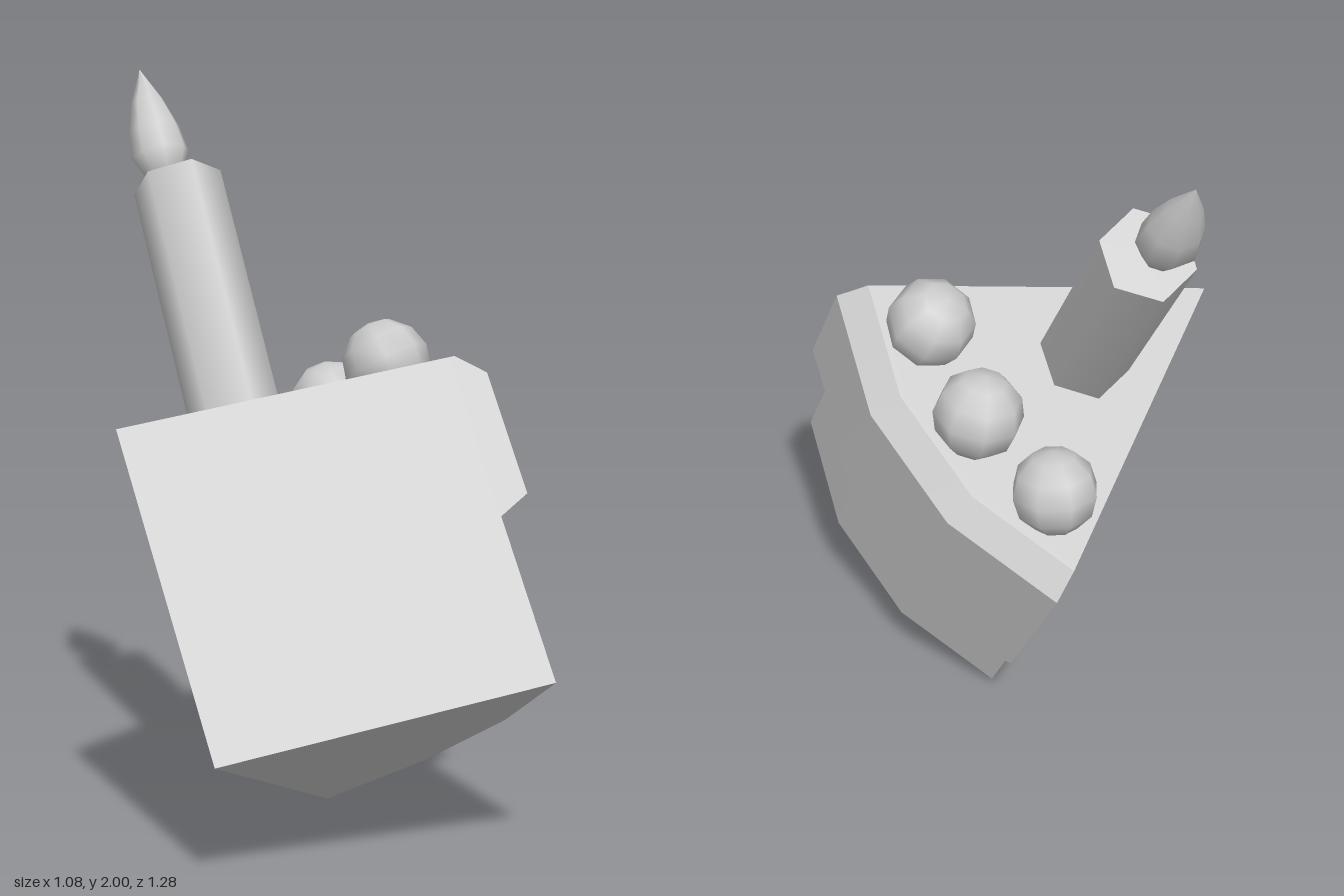
import * as THREE from 'three';
import { toCreasedNormals } from 'three/addons/utils/BufferGeometryUtils.js';

const R = 0.926, H = 0.925;
const UP = new THREE.Vector3(0, 1, 0);
const material = new THREE.MeshStandardMaterial({ color: 0xcccccc });

function part(name, geometry, parent) {
  const mesh = new THREE.Mesh(geometry, material);
  mesh.name = name;
  parent.add(mesh);
  return mesh;
}

// Places a mesh at a point with its y axis running along a direction
function aim(mesh, position, direction) {
  mesh.position.copy(position);
  mesh.quaternion.setFromUnitVectors(UP, direction.clone().normalize());
}

// Sixty degree wedge with three straight segments round the rim
function wedgeGeometry() {
  const shape = new THREE.Shape();
  shape.moveTo(0, 0);
  for (let i = 0; i <= 3; i++) {
    const a = i * Math.PI / 9;
    shape.lineTo(R * Math.cos(a), R * Math.sin(a));
  }
  const g = new THREE.ExtrudeGeometry(shape, { depth: H, bevelEnabled: false });
  g.rotateX(-Math.PI / 2);
  return toCreasedNormals(g, 0.6);
}

// Frosting shell on the rim: cross-sections by angle, with a dripping lower edge
function frostingGeometry() {
  const drips = [[0, 0.465], [10, 0.475], [20, 0.44], [26.5, 0.445], [30.5, 0.39],
    [40, 0.345], [43, 0.285], [57, 0.3], [60, 0.325]];
  const pos = [], index = [], n = 5;
  for (const [deg, h] of drips) {
    const a = THREE.MathUtils.degToRad(deg);
    const local = THREE.MathUtils.degToRad(deg === 60 ? 10 : (deg % 20) - 10);
    const chord = Math.cos(Math.PI / 18) / Math.cos(local);
    const section = [[R, H], [0.942, H], [1.015, 0.86], [1.015, h + 0.045], [R, h]];
    for (const [r, y] of section) {
      pos.push(r * chord * Math.cos(a), y, -r * chord * Math.sin(a));
    }
  }
  const last = (drips.length - 1) * n;
  for (let i = 0; i < last; i += n) {
    for (let j = 0; j < n - 1; j++) {
      const a = i + j, b = a + 1, c = a + n, d = c + 1;
      index.push(a, b, c, b, d, c);
    }
  }
  // flat cut ends
  for (let j = 1; j < n - 1; j++) {
    index.push(0, j + 1, j, last, last + j, last + j + 1);
  }
  const g = new THREE.BufferGeometry();
  g.setAttribute('position', new THREE.Float32BufferAttribute(pos, 3));
  g.setIndex(index);
  return toCreasedNormals(g, 0.65);
}

export function createModel() {
  const model = new THREE.Group();
  model.name = 'cakeSlice';

  // The slice is built upright with its tip at the origin, then tilted as a whole
  const slice = new THREE.Group();
  slice.name = 'tiltedSlice';
  model.add(slice);

  part('cakeBody', wedgeGeometry(), slice);
  part('frosting', frostingGeometry(), slice);

  // Six-sided candle leaning slightly outwards
  const base = new THREE.Vector3(0.363, 0.86, -0.2);
  const top = new THREE.Vector3(0.425, 1.685, -0.278);
  const axis = top.clone().sub(base);
  const candleGeo = new THREE.CylinderGeometry(0.125, 0.125, axis.length(), 6);
  candleGeo.rotateY(0.2);
  aim(part('candle', candleGeo, slice), base.clone().lerp(top, 0.5), axis);

  // Teardrop flame
  const flameProfile = [[0, 0], [0.048, 0.015], [0.083, 0.09], [0.072, 0.17], [0.045, 0.26], [0, 0.36]]
    .map(([x, y]) => new THREE.Vector2(x, y));
  const flame = part('flame', new THREE.LatheGeometry(flameProfile, 8), slice);
  aim(flame, new THREE.Vector3(0.4, 1.69, -0.29), new THREE.Vector3(0.018, 0.358, 0.002));
  flame.scale.z = 0.88;

  // Berries following the rim
  const berries = [[0.8, 0.993, -0.139, 0.12], [0.7, 0.996, -0.402, 0.122], [0.519, 0.997, -0.62, 0.117]];
  berries.forEach(([x, y, z, r], i) => {
    const berry = part('berry' + (i + 1), new THREE.SphereGeometry(r, 8, 6), slice);
    berry.position.set(x, y, z);
    berry.rotation.set(0.3 * i, 0.5 + i, 0.2);
  });

  const x = new THREE.Vector3(0.984, 0.162, -0.076).normalize();
  const y = new THREE.Vector3(-0.184, 0.854, -0.486);
  const z = new THREE.Vector3().crossVectors(x, y).normalize();
  y.crossVectors(z, x);
  slice.quaternion.setFromRotationMatrix(new THREE.Matrix4().makeBasis(x, y, z));
  slice.position.set(-0.37, 0.322, 0.64);
  return model;
}
